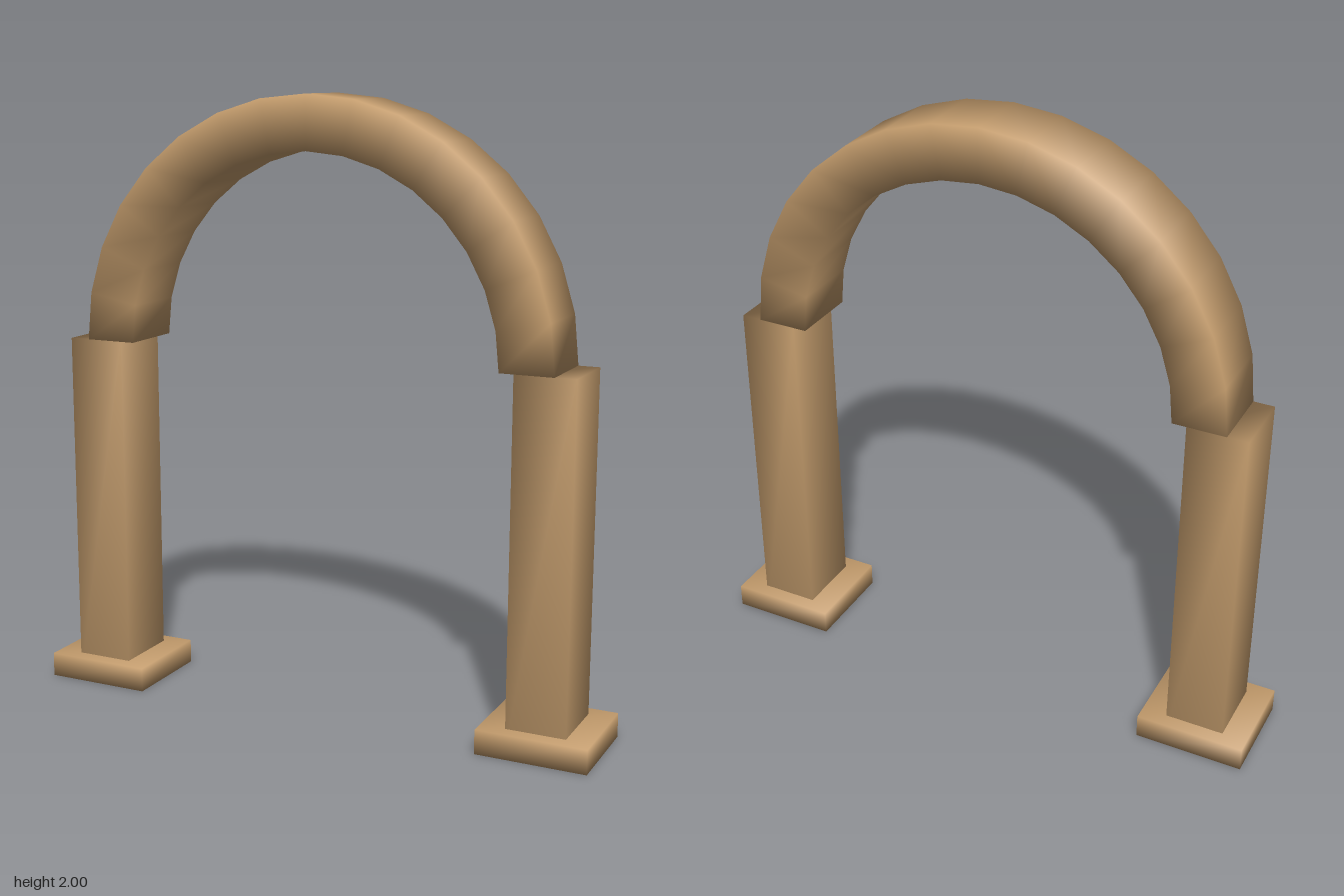
import * as THREE from 'three';
import { mergeVertices } from 'three/addons/utils/BufferGeometryUtils.js';

const wood = new THREE.MeshStandardMaterial({ color: 0xc19a6b });
wood.name = 'tan wood';

// Box with shared corners, so its shading runs smoothly round the edges
function softBox(name, width, height, depth, x, bottom) {
  let geometry = new THREE.BoxGeometry(width, height, depth);
  geometry.deleteAttribute('normal');
  geometry.deleteAttribute('uv');
  geometry = mergeVertices(geometry);
  geometry.computeVertexNormals();
  const mesh = new THREE.Mesh(geometry, wood);
  mesh.name = name;
  mesh.position.set(x, bottom + height / 2, 0);
  return mesh;
}

// Half ring of rectangular section, closed at both feet
function archGeometry(inner, outer, halfDepth, segments) {
  const positions = [], index = [];
  const section = [[inner, -halfDepth], [outer, -halfDepth], [outer, halfDepth], [inner, halfDepth]];
  for (let i = 0; i <= segments; i++) {
    const angle = (i / segments) * Math.PI;
    for (const [r, z] of section) positions.push(r * Math.cos(angle), r * Math.sin(angle), z);
  }
  for (let i = 0; i < segments; i++) {
    for (let k = 0; k < 4; k++) {
      const a = i * 4 + k, b = i * 4 + (k + 1) % 4;
      index.push(a, a + 4, b, b, a + 4, b + 4);
    }
  }
  const e = segments * 4;
  index.push(0, 1, 2, 0, 2, 3, e, e + 2, e + 1, e, e + 3, e + 2);
  const geometry = new THREE.BufferGeometry();
  geometry.setAttribute('position', new THREE.Float32BufferAttribute(positions, 3));
  geometry.setIndex(index);
  geometry.computeVertexNormals();
  return geometry;
}

export function createModel() {
  const group = new THREE.Group();
  group.name = 'gardenArch';

  // Pillars on square plinths
  for (const [side, s] of [['left', 1], ['right', -1]]) {
    group.add(softBox(side + 'Plinth', 0.36, 0.08, 0.326, s * 0.781, 0));
    group.add(softBox(side + 'Pillar', 0.195, 1.187, 0.23, s * 0.781, 0.003));
  }

  // Arch spanning the pillars
  const arch = new THREE.Mesh(archGeometry(0.637, 0.81, 0.115, 16), wood);
  arch.name = 'arch';
  arch.position.y = 1.19;
  group.add(arch);
  return group;
}
